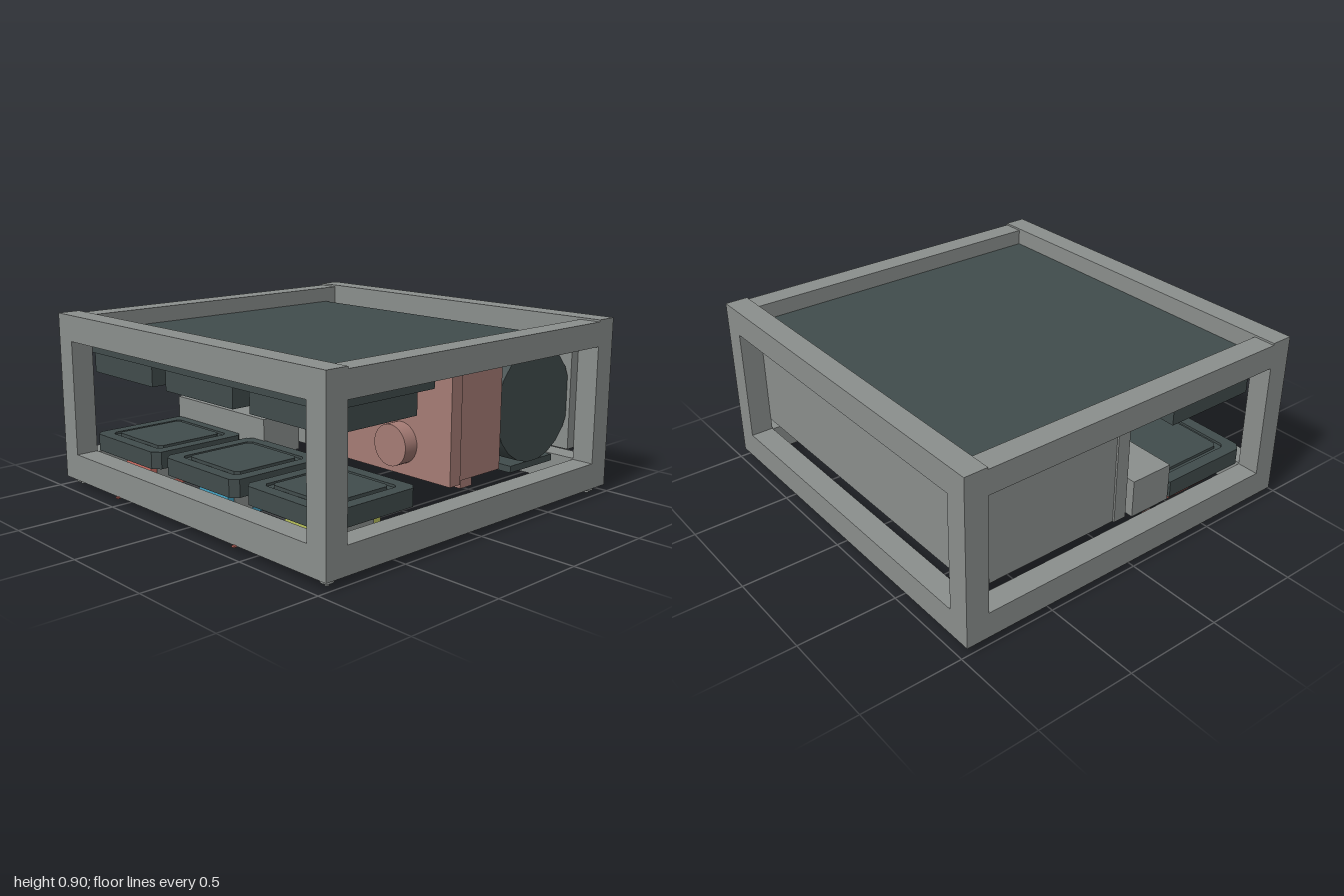
import * as THREE from 'three';

const mat = (name, color) => {
  const m = new THREE.MeshStandardMaterial({ color });
  m.name = name;
  return m;
};

export function createModel() {
  const root = new THREE.Group();
  root.name = 'equipmentRack';
  const gray = mat('frame gray', 0x8b8f8d);
  const dark = mat('dark slate', 0x414c4c);
  const black = mat('near black', 0x222828);
  const rose = mat('dusty rose', 0xa67c75);
  const red = mat('red', 0xc86c62);
  const blue = mat('blue', 0x43a0c0);
  const yellow = mat('yellow', 0xb7bf5a);

  const add = (name, geo, m, parent = root) => {
    const mesh = new THREE.Mesh(geo, m);
    mesh.name = name;
    parent.add(mesh);
    return mesh;
  };
  // Box given by its minimum and maximum on each axis
  const box = (name, m, x0, x1, y0, y1, z0, z1) => {
    const b = add(name, new THREE.BoxGeometry(x1 - x0, y1 - y0, z1 - z0), m);
    b.position.set((x0 + x1) / 2, (y0 + y1) / 2, (z0 + z1) / 2);
    return b;
  };
  const cyl = (name, m, r, h, x, y, z, axis = 'y', sides = 24) => {
    const g = new THREE.CylinderGeometry(r, r, h, sides);
    if (axis === 'x') g.rotateZ(Math.PI / 2);
    if (axis === 'z') g.rotateX(Math.PI / 2);
    const c = add(name, g, m);
    c.position.set(x, y, z);
    return c;
  };

  // Open frame: posts, rails and feet
  for (const [z0, z1] of [[0.84, 0.957], [-0.97, -0.853]]) {
    box('crossRailTop', gray, -1, 1, 0.767, 0.9, z0, z1);
    box('crossRailBottom', gray, -1, 1, 0.04, 0.177, z0, z1);
    for (const s of [-1, 1]) {
      box('post', gray, s * 0.9425 - 0.0575, s * 0.9425 + 0.0575, 0.177, 0.767, z0, z1);
    }
  }
  for (const s of [-1, 1]) {
    const x0 = s * 0.9425 - 0.0575, x1 = s * 0.9425 + 0.0575;
    box('sideRailTop', gray, x0, x1, 0.767, 0.89, -0.853, 0.84);
    box('sideRailBottom', gray, x0, x1, 0.04, 0.172, -0.853, 0.84);
    for (const z of [-0.905, 0.9]) {
      cyl('foot', gray, 0.03, 0.016, s * 0.943, 0.024, z, 'y', 16);
      cyl('footStem', gray, 0.01, 0.04, s * 0.943, 0.02, z, 'y', 8);
    }
  }
  for (const x of [-0.505, 0.42]) box('frontPin', red, x - 0.008, x + 0.008, 0.035, 0.043, 0.93, 0.97);

  // Top cover and back panel
  box('topCover', dark, -0.885, 0.885, 0.732, 0.808, -0.778, 0.84);
  box('upperMount', dark, -0.885, 0.885, 0.698, 0.732, 0.21, 0.84);
  box('backPanel', gray, -0.885, 0.885, 0.235, 0.767, -0.855, -0.8);

  // Cabinet on the right-hand side, with a separate low box in front
  box('cabinet', gray, -0.885, -0.17, 0.235, 0.732, -0.8, -0.04);
  box('cabinetLip', gray, -0.885, -0.175, 0.732, 0.765, -0.8, -0.778);
  box('cabinetEdge', gray, -0.895, -0.165, 0.21, 0.732, -0.04, 0.03);
  box('cabinetFloor', gray, -0.885, -0.17, 0.21, 0.235, -0.76, -0.04);
  box('cabinetHatch', gray, -0.82, -0.25, 0.197, 0.21, -0.7, -0.12);
  for (const z of [-0.53, -0.31]) box('hatchHandle', gray, -0.72, -0.58, 0.19, 0.197, z - 0.02, z + 0.02);
  box('stepBox', gray, -0.895, -0.165, 0.19, 0.385, 0.075, 0.31);
  box('knobPlate', dark, -0.885, -0.165, 0.176, 0.19, 0.11, 0.27);
  for (let i = 0; i < 4; i++) cyl('knob', rose, 0.034, 0.02, -0.34 - i * 0.17, 0.167, 0.2, 'y', 16);

  // Drum, its vent, and the rose housing in front of it
  cyl('drum', dark, 0.286, 0.675, 0.5275, 0.508, -0.536, 'x', 22);
  box('ventPlate', dark, 0.2, 0.86, 0.192, 0.225, -0.7, -0.375);
  for (let i = 0; i < 7; i++) {
    const x = 0.26 + i * 0.09;
    box('ventSlot', black, x - 0.02, x + 0.02, 0.184, 0.192, -0.62, -0.47);
  }
  box('housing', rose, 0.1, 0.87, 0.235, 0.732, -0.275, 0.02);
  box('housingFlange', rose, 0.075, 0.882, 0.222, 0.732, 0.02, 0.09);
  box('housingRib', rose, 0.12, 0.85, 0.187, 0.235, -0.1, -0.02);
  cyl('nozzle', rose, 0.1, 0.08, 0.577, 0.375, 0.127, 'z', 32);

  // Square plate with cut corners and an optional square hole, lying flat
  const cutSquare = (T, size, c) => {
    const a = size / 2, p = new T();
    [[-a + c, -a], [a - c, -a], [a, -a + c], [a, a - c], [a - c, a], [-a + c, a], [-a, a - c], [-a, -a + c]]
      .forEach(([x, y], i) => (i ? p.lineTo(x, y) : p.moveTo(x, y)));
    p.closePath();
    return p;
  };
  const plate = (name, parent, size, cut, hole, y0, y1) => {
    const shape = cutSquare(THREE.Shape, size, cut);
    if (hole) shape.holes.push(cutSquare(THREE.Path, hole, 0.02));
    const g = new THREE.ExtrudeGeometry(shape, { depth: y1 - y0, bevelEnabled: false });
    g.rotateX(-Math.PI / 2);
    add(name, g, dark, parent).position.y = y0;
  };

  const stations = [['red', red, -0.63], ['blue', blue, 0], ['yellow', yellow, 0.625]];
  for (const [label, color, x] of stations) {
    // Lower pad: straight-walled body, rim and raised inner plate
    const pad = new THREE.Group();
    pad.name = 'lowerPad';
    pad.position.set(x === 0 ? -0.003 : x * 0.977, 0, 0.571);
    root.add(pad);
    plate('padBody', pad, 0.545, 0.035, 0, 0.188, 0.262);
    plate('padRim', pad, 0.545, 0.035, 0.42, 0.262, 0.274);
    plate('padPlate', pad, 0.37, 0.02, 0, 0.262, 0.277);

    // Upper pad
    const ux = x === 0 ? -0.005 : x;
    box('upperPad', dark, ux - 0.256, ux + 0.256, 0.595, 0.698, 0.315, 0.825);

    // Coloured module below the pad
    box(label + 'Module', color, x - 0.11, x + 0.11, 0.03, 0.188, 0.385, 0.755);
    box('moduleSidePlate', gray, x + 0.11, x + 0.116, 0.06, 0.188, 0.43, 0.72);
    box('moduleButton', gray, x - 0.035, x + 0.035, 0.006, 0.03, 0.56, 0.62);
    box('moduleTab', gray, x - 0.09, x + 0.09, 0.01, 0.03, 0.392, 0.412);
  }
  return root;
}
